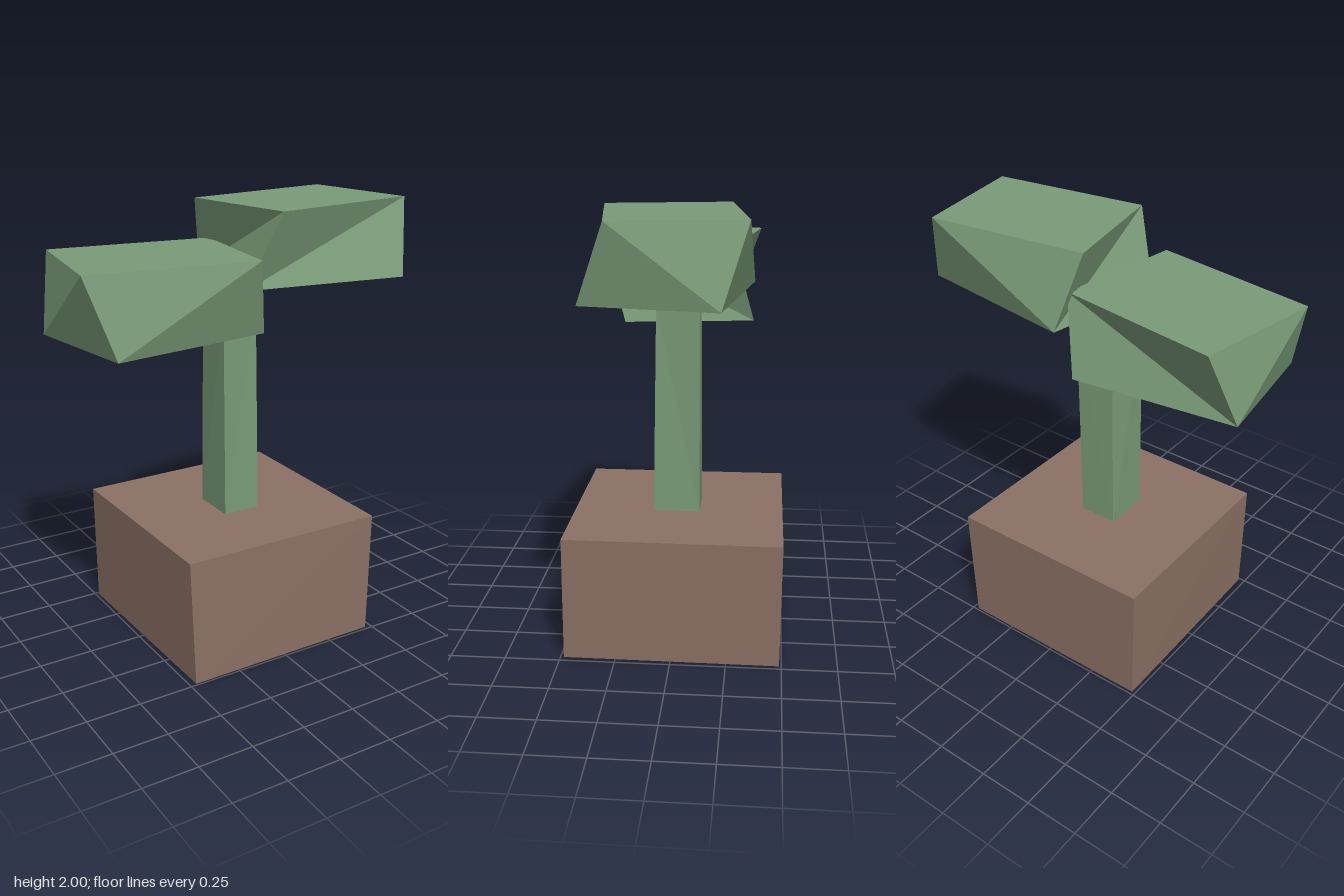
import * as THREE from 'three';

const GREEN = 0x7a9b78;
const BROWN = 0x8b7164;

// Skewed block between two four-cornered outlines.
// Corners are [x, z], in the order front left, front right, back right, back left (seen from the front).
function block(name, color, y0, bottom, y1, top) {
  const points = [
    ...bottom.map(([x, z]) => [x, y0, z]),
    ...top.map(([x, z]) => [x, y1, z]),
  ];
  const faces = [
    0, 2, 1, 0, 3, 2, // bottom
    4, 5, 6, 4, 6, 7, // top
    0, 1, 5, 0, 5, 4, // front
    1, 2, 5, 2, 6, 5, // +x side
    2, 3, 6, 3, 7, 6, // back
    3, 0, 4, 3, 4, 7, // -x side
  ];
  const geometry = new THREE.BufferGeometry();
  geometry.setAttribute('position',
    new THREE.Float32BufferAttribute(faces.flatMap((i) => points[i]), 3));
  geometry.computeVertexNormals();
  const mesh = new THREE.Mesh(geometry, new THREE.MeshStandardMaterial({ color, flatShading: true }));
  mesh.name = name;
  return mesh;
}

export function createModel() {
  const model = new THREE.Group();
  model.name = 'pottedSapling';

  model.add(
    // Square pot, very slightly out of true
    block('pot', BROWN,
      0, [[-0.47, 0.49], [0.47, 0.485], [0.475, -0.49], [-0.485, -0.485]],
      0.58, [[-0.485, 0.475], [0.485, 0.48], [0.49, -0.495], [-0.49, -0.49]]),

    // Stem with a small twist
    block('stem', GREEN,
      0.58, [[-0.09, 0.11], [0.09, 0.11], [0.09, -0.105], [-0.09, -0.105]],
      1.54, [[-0.095, 0.105], [0.08, 0.095], [0.11, -0.105], [-0.08, -0.1]]),

    // Two twisted leaf blocks, the left one higher
    block('leftLeaf', GREEN,
      1.66, [[-0.06, 0.23], [0.71, 0.345], [0.815, -0.23], [0.04, -0.345]],
      2, [[0.07, 0.32], [0.8, 0.22], [0.71, -0.335], [-0.04, -0.24]]),
    block('rightLeaf', GREEN,
      1.465, [[-0.72, 0.335], [0.03, 0.24], [-0.05, -0.34], [-0.8, -0.24]],
      1.81, [[-0.82, 0.23], [-0.05, 0.345], [0.04, -0.25], [-0.72, -0.36]]),
  );

  return model;
}
